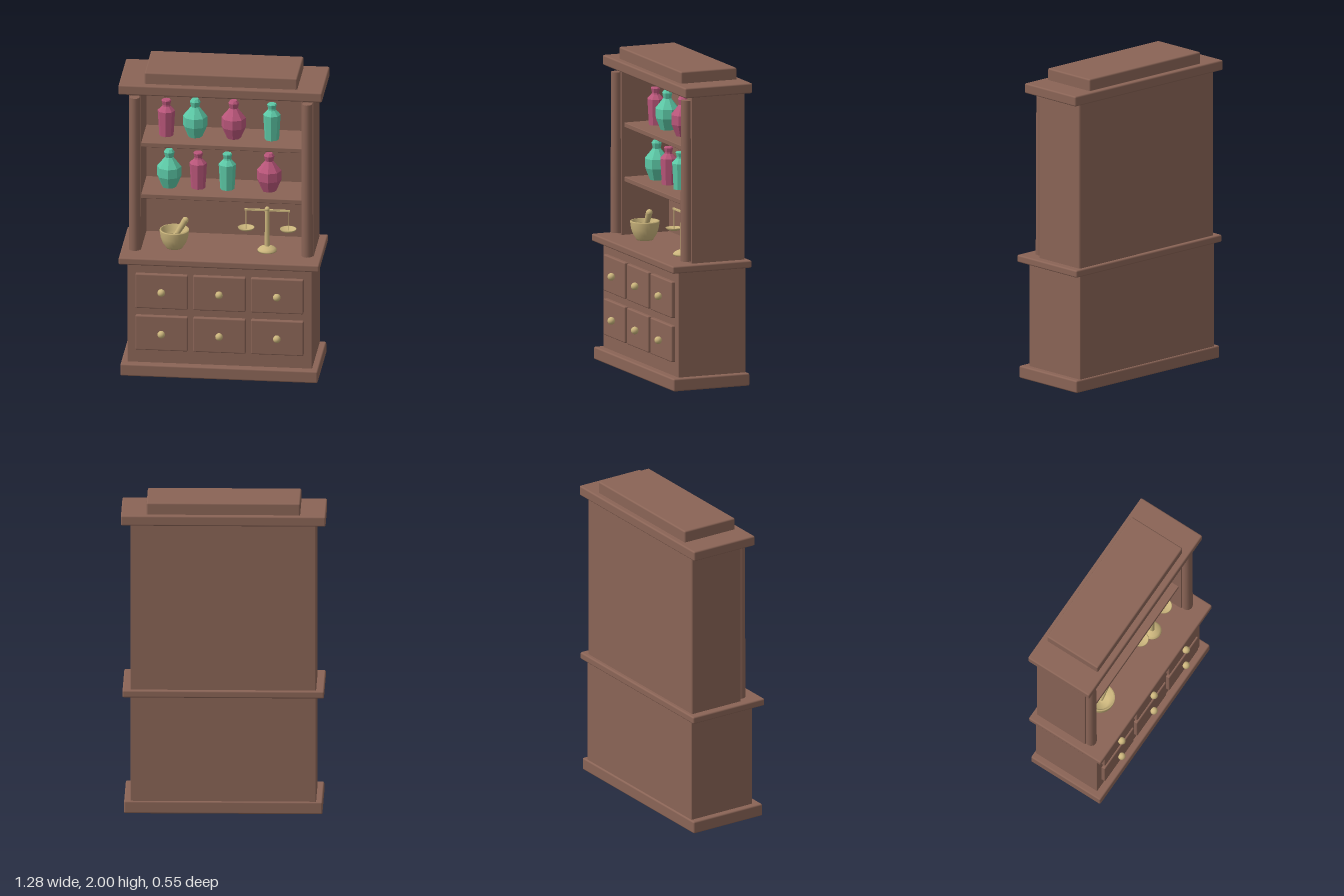
import * as THREE from 'three';
import { RoundedBoxGeometry } from 'three/addons/geometries/RoundedBoxGeometry.js';

const mat = (name, color, flatShading = false) => {
  const m = new THREE.MeshStandardMaterial({ color, flatShading });
  m.name = name;
  return m;
};

export function createModel() {
  const wood = mat('wood', 0x8a6456);
  const brass = mat('brass', 0xcbb57c);
  const pink = mat('pinkGlass', 0xb9567a, true);
  const teal = mat('tealGlass', 0x5cc8a6, true);
  const model = new THREE.Group();
  model.name = 'apothecaryCabinet';

  const add = (parent, name, geometry, material, x = 0, y = 0, z = 0) => {
    const mesh = new THREE.Mesh(geometry, material);
    mesh.name = name;
    mesh.position.set(x, y, z);
    parent.add(mesh);
    return mesh;
  };
  // Softly rounded wooden board given by its limits
  const board = (name, x0, x1, y0, y1, z0, z1, r = 0.008) =>
    add(model, name, new RoundedBoxGeometry(x1 - x0, y1 - y0, z1 - z0, 2, r), wood,
      (x0 + x1) / 2, (y0 + y1) / 2, (z0 + z1) / 2);
  const lathe = (points, sides) =>
    new THREE.LatheGeometry(points.map(([r, y]) => new THREE.Vector2(r, y)), sides);

  // Lower cabinet
  board('plinth', -0.62, 0.62, 0, 0.08, -0.26, 0.26, 0.01);
  board('lowerCabinet', -0.58, 0.58, 0.07, 0.76, -0.25, 0.21, 0.004);
  board('counter', -0.63, 0.63, 0.75, 0.797, -0.27, 0.27, 0.01);

  // Drawers with knobs
  for (const y of [0.285, 0.565]) {
    for (const x of [-0.363, 0, 0.363]) {
      board('drawer', x - 0.165, x + 0.165, y - 0.115, y + 0.115, 0.19, 0.235);
      add(model, 'drawerKnob', new THREE.SphereGeometry(0.024, 16, 12), brass, x, y, 0.252);
    }
  }

  // Upper cabinet
  board('backPanel', -0.575, 0.575, 0.79, 1.87, -0.245, -0.205, 0.003);
  for (const s of [-1, 1]) {
    board('sidePanel', s * 0.5425 - 0.0375, s * 0.5425 + 0.0375, 0.79, 1.87, -0.24, 0.12, 0.003);
    add(model, 'column', new THREE.CylinderGeometry(0.032, 0.036, 1.02, 12), wood, s * 0.542, 1.32, 0.14);
  }
  const shelfTops = [1.165, 1.51];
  for (const y of shelfTops) board('shelf', -0.51, 0.51, y - 0.03, y, -0.21, 0.1, 0.004);
  board('crown', -0.64, 0.64, 1.86, 1.925, -0.27, 0.19, 0.01);
  board('topBlock', -0.48, 0.48, 1.915, 2, -0.233, 0.148, 0.01);

  // Faceted bottles: slim and round
  const slim = lathe([[0, 0], [0.045, 0], [0.055, 0.165], [0.026, 0.195],
    [0.024, 0.205], [0.031, 0.232], [0.026, 0.238], [0, 0.238]], 8);
  const round = lathe([[0, 0], [0.045, 0], [0.077, 0.075], [0.077, 0.135], [0.034, 0.188],
    [0.026, 0.198], [0.034, 0.232], [0.022, 0.25], [0, 0.25]], 8);
  const bottles = [
    [-0.345, 0, round, teal], [-0.163, 0, slim, pink], [0.02, 0, slim, teal], [0.283, 0, round, pink],
    [-0.363, 1, slim, pink], [-0.182, 1, round, teal], [0.06, 1, round, pink], [0.3, 1, slim, teal],
  ];
  for (const [x, row, geometry, material] of bottles)
    add(model, 'bottle', geometry, material, x, shelfTops[row], -0.05);

  // Mortar and pestle
  const mortar = new THREE.Group();
  mortar.name = 'mortarAndPestle';
  mortar.position.set(-0.302, 0.797, 0.05);
  model.add(mortar);
  add(mortar, 'mortarBowl', lathe([[0, 0], [0.052, 0], [0.058, 0.012], [0.074, 0.035], [0.086, 0.07],
    [0.093, 0.115], [0.091, 0.121], [0.081, 0.121], [0.075, 0.085], [0.05, 0.045], [0, 0.035]], 28), brass);
  const pestle = new THREE.Group();
  pestle.name = 'pestle';
  pestle.position.set(0.038, 0.13, 0);
  pestle.rotation.z = -0.52;
  mortar.add(pestle);
  add(pestle, 'pestleHandle', new THREE.CylinderGeometry(0.021, 0.016, 0.13, 14), brass);
  add(pestle, 'pestleEnd', new THREE.SphereGeometry(0.021, 14, 8), brass, 0, 0.062, 0);

  // Balance scales
  const scales = new THREE.Group();
  scales.name = 'balanceScales';
  scales.position.set(0.281, 0.797, 0.05);
  model.add(scales);
  add(scales, 'scaleBase', lathe([[0, 0], [0.06, 0], [0.06, 0.01], [0.048, 0.022], [0.022, 0.034], [0, 0.036]], 24), brass);
  add(scales, 'scalePost', new THREE.CylinderGeometry(0.013, 0.017, 0.275, 14), brass, 0, 0.15, 0);
  add(scales, 'scaleFinial', new THREE.SphereGeometry(0.016, 14, 10), brass, 0, 0.28, 0);
  add(scales, 'scaleBeam', new THREE.BoxGeometry(0.285, 0.011, 0.012), brass, 0, 0.272, 0);
  const pan = lathe([[0, 0], [0.03, 0.003], [0.046, 0.01], [0.053, 0.02], [0.048, 0.02], [0.03, 0.011], [0, 0.008]], 24);
  for (const s of [-1, 1]) {
    add(scales, 'scaleCord', new THREE.CylinderGeometry(0.003, 0.003, 0.13, 6), brass, s * 0.132, 0.205, 0);
    add(scales, 'scalePan', pan, brass, s * 0.132, 0.133, 0);
  }
  return model;
}
